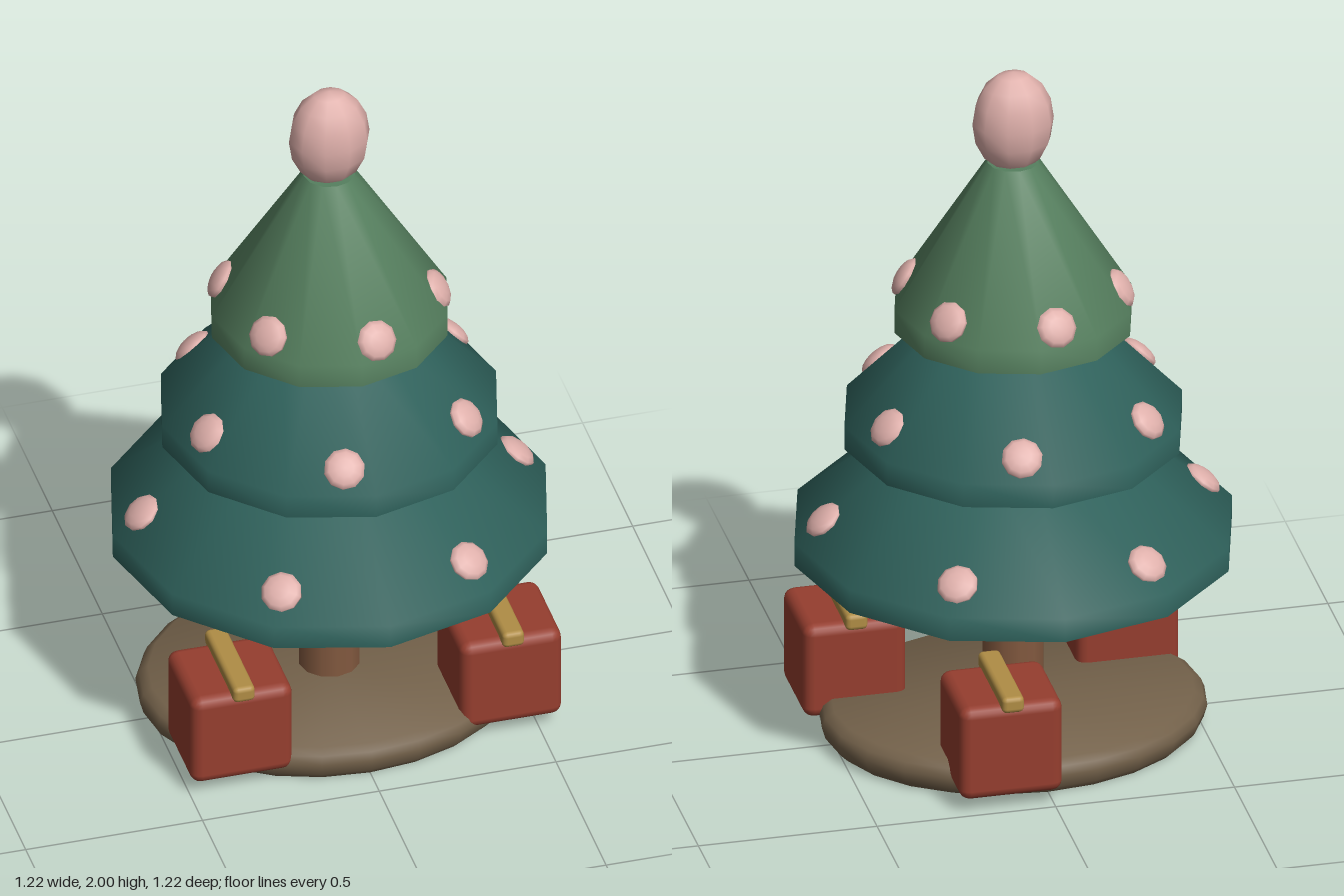
import * as THREE from 'three';
import { toCreasedNormals } from 'three/addons/utils/BufferGeometryUtils.js';
import { RoundedBoxGeometry } from 'three/addons/geometries/RoundedBoxGeometry.js';

const material = (name, color) => {
  const m = new THREE.MeshStandardMaterial({ color });
  m.name = name;
  return m;
};

export function createModel() {
  const model = new THREE.Group();
  model.name = 'decoratedTree';

  const teal = material('dark teal', 0x2f625c);
  const green = material('leaf green', 0x56805f);
  const pink = material('soft pink', 0xdeafaa);
  const bark = material('bark brown', 0x82593f);
  const earth = material('earth brown', 0x73614a);
  const red = material('gift red', 0x963e2f);
  const gold = material('ribbon gold', 0xb08d45);

  const add = (parent, name, geometry, mat, x = 0, y = 0, z = 0) => {
    const mesh = new THREE.Mesh(geometry, mat);
    mesh.name = name;
    mesh.position.set(x, y, z);
    parent.add(mesh);
    return mesh;
  };
  // Profile of [radius, height] pairs, listed from the bottom centre to the top
  const lathe = (profile, sides) => toCreasedNormals(
    new THREE.LatheGeometry(profile.map(([r, y]) => new THREE.Vector2(r, y)), sides), 1.0);

  // Oval base with rounded rim
  const base = add(model, 'base', lathe(
    [[0, 0], [0.505, 0], [0.525, 0.02], [0.535, 0.055], [0.525, 0.08], [0.5, 0.097], [0, 0.097]], 24), earth);
  base.scale.z = 0.81;

  add(model, 'trunk', new THREE.CylinderGeometry(0.085, 0.085, 0.52, 12), bark, 0, 0.34, 0);

  // Foliage tiers, each with a ring of six flattened baubles lying on its slope
  const tiers = [
    { name: 'lowerTier', y: 0.56, r: 0.612, topY: 0.93, topR: 0.24, mat: teal, ringR: 0.53, ringY: 0.69, turn: 0 },
    { name: 'middleTier', y: 0.9, r: 0.472, topY: 1.28, topR: 0.18, mat: teal, ringR: 0.408, ringY: 1.025, turn: 40 },
    { name: 'upperTier', y: 1.24, r: 0.332, topY: 1.73, topR: 0.072, mat: green, ringR: 0.295, ringY: 1.355, turn: 20 },
  ];
  const baubleGeometry = new THREE.SphereGeometry(0.058, 10, 7);
  baubleGeometry.scale(1, 0.45, 1);
  for (const t of tiers) {
    const rimY = t.y + 0.07;
    add(model, t.name, lathe([[0, t.y], [t.r, t.y], [t.r, rimY], [t.topR, t.topY], [0, t.topY]], 12), t.mat);

    const baubles = new THREE.Group();
    baubles.name = t.name + 'Baubles';
    model.add(baubles);
    const up = new THREE.Vector3(0, 1, 0);
    for (let i = 0; i < 6; i++) {
      const a = THREE.MathUtils.degToRad(t.turn + i * 60);
      const normal = new THREE.Vector3(
        Math.cos(a) * (t.topY - rimY), t.r - t.topR, Math.sin(a) * (t.topY - rimY)).normalize();
      const bauble = add(baubles, 'bauble', baubleGeometry, pink,
        Math.cos(a) * t.ringR, t.ringY, Math.sin(a) * t.ringR);
      bauble.quaternion.setFromUnitVectors(up, normal);
    }
  }

  // Oval ornament at the tip
  const topper = add(model, 'topper', new THREE.SphereGeometry(1, 10, 8), pink, 0, 1.85, 0);
  topper.scale.set(0.114, 0.15, 0.092);

  // Gifts with a ribbon bar along the top
  const boxGeometry = new RoundedBoxGeometry(0.288, 0.28, 0.27, 2, 0.03);
  const ribbonGeometry = new RoundedBoxGeometry(0.062, 0.048, 0.3, 2, 0.014);
  for (const [x, z] of [[-0.355, 0.262], [0.42, 0.215], [0.12, -0.362]]) {
    const gift = new THREE.Group();
    gift.name = 'gift';
    gift.position.set(x, 0, z);
    model.add(gift);
    add(gift, 'giftBox', boxGeometry, red, 0, 0.18, 0);
    add(gift, 'giftRibbon', ribbonGeometry, gold, 0, 0.328, 0);
  }

  return model;
}
